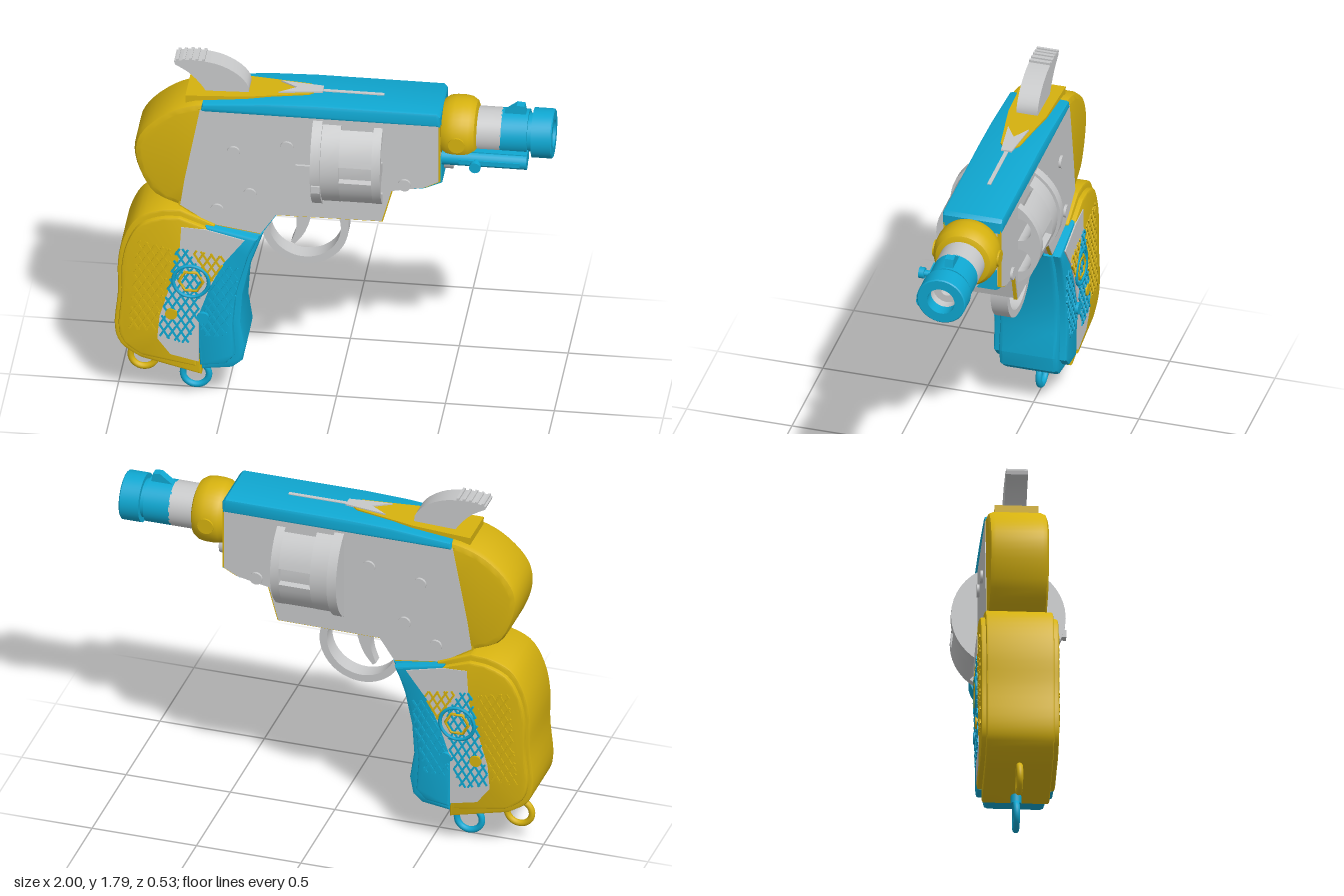
import * as THREE from 'three';
import { toCreasedNormals, mergeGeometries } from 'three/addons/utils/BufferGeometryUtils.js';

const material = (name, color) => {
  const m = new THREE.MeshStandardMaterial({ color });
  m.name = name;
  return m;
};

export function createModel() {
  const blue = material('blue', 0x0fa8d2);
  const yellow = material('yellow', 0xd6b20f);
  const gray = material('lightGray', 0xc8c9ca);
  const model = new THREE.Group();
  model.name = 'toyRevolver';

  const add = (name, geo, mat, x = 0, y = 0, z = 0) => {
    const mesh = new THREE.Mesh(geo, mat);
    mesh.name = name;
    mesh.position.set(x, y, z);
    model.add(mesh);
    return mesh;
  };
  const vec = (pts) => pts.map(([x, y]) => new THREE.Vector2(x, y));
  const curve = (pts, n = 24) => new THREE.SplineCurve(vec(pts)).getPoints(n).map((p) => [p.x, p.y]);
  const scaled = (pts, cx, cy, k) => pts.map(([x, y]) => [cx + (x - cx) * k, cy + (y - cy) * k]);

  // Side outline extruded between two z values
  const slab = (pts, z0, z1, bevel = 0) => {
    const g = new THREE.ExtrudeGeometry(new THREE.Shape(vec(pts)), {
      depth: z1 - z0 - 2 * bevel, bevelEnabled: bevel > 0, bevelThickness: bevel,
      bevelSize: bevel, bevelOffset: -bevel, bevelSegments: 2,
    });
    g.translate(0, 0, z0 + bevel);
    return toCreasedNormals(g, 0.5);
  };
  const centred = (name, pts, half, mat, bevel) => add(name, slab(pts, -half, half, bevel), mat);
  const bothSides = (name, pts, a, b, mat) => {
    add(name + 'Left', slab(pts, a, b), mat);
    add(name + 'Right', slab(pts, -b, -a), mat);
  };
  // Profile of [radius, x] turned about the barrel axis
  const turned = (name, pts, mat, y) =>
    add(name, toCreasedNormals(new THREE.LatheGeometry(vec(pts), 40).rotateZ(-Math.PI / 2), 0.5), mat, 0, y);
  const rodX = (r, len) => new THREE.CylinderGeometry(r, r, len, 24).rotateZ(Math.PI / 2);
  const rodZ = (r, len) => new THREE.CylinderGeometry(r, r, len, 24).rotateX(Math.PI / 2);

  // Frame: gray core, yellow rims and gray side plates
  const frame = [[-0.61, 1.575], [0.485, 1.575], [0.485, 1.275], [0.42, 1.24], [0.27, 1.21],
    [0.225, 1.045], [-0.26, 1.04], [-0.33, 0.935], [-0.56, 0.97], [-0.7, 1.06], [-0.68, 1.2]];
  centred('frameCore', frame, 0.12, gray);
  bothSides('frameRim', scaled(frame, -0.1, 1.3, 1.015), 0.12, 0.136, yellow);
  bothSides('sidePlate', frame, 0.13, 0.14, gray);
  centred('topStrap', [[-0.61, 1.565], [-0.6, 1.603], [-0.3, 1.63], [-0.1, 1.637], [0.48, 1.637],
    [0.495, 1.62], [0.495, 1.565]], 0.143, blue, 0.014);
  centred('frameNose', [[0.25, 1.195], [0.42, 1.222], [0.5, 1.26], [0.5, 1.36], [0.4, 1.36], [0.3, 1.3]], 0.115, blue);
  centred('rearHood', [...curve([[-0.56, 1.605], [-0.65, 1.595], [-0.76, 1.55], [-0.86, 1.465], [-0.91, 1.37],
    [-0.9, 1.25], [-0.83, 1.11], [-0.71, 1.05]]), [-0.55, 1.05], [-0.5, 1.3], [-0.5, 1.6]], 0.137, yellow, 0.03);

  // Inlays along the top, laid flat from plan outlines
  const inlay = (name, pts, thick, mat, y, tilt) => {
    const g = slab(pts, 0, thick).rotateX(-Math.PI / 2);
    add(name, g, mat, 0, y).rotation.z = tilt;
  };
  inlay('topRidge', [[-0.68, 0.1], [-0.4, 0.09], [-0.12, 0.045], [-0.06, 0], [-0.12, -0.045],
    [-0.4, -0.09], [-0.68, -0.1]], 0.05, yellow, 1.597, 0.035);
  inlay('topWedge', [[-0.26, 0.05], [-0.06, 0.025], [-0.06, -0.025], [-0.26, -0.05], [-0.18, 0]], 0.008, gray, 1.641, 0.012);
  inlay('sightGroove', [[-0.1, 0.009], [0.22, 0.009], [0.22, -0.009], [-0.1, -0.009]], 0.006, gray, 1.635, 0);

  // Screws on both sides of the frame and grip
  const screw = (x, y, z, r, mat) => {
    for (const s of [1, -1]) add('screw', rodZ(r, 0.02), mat, x, y, s * z);
  };
  for (const [x, y] of [[-0.455, 1.365], [-0.21, 1.41], [-0.38, 1.145], [-0.53, 1.05], [0.33, 1.25]])
    screw(x, y, 0.142, 0.03, gray);
  screw(-0.735, 0.5, 0.182, 0.028, yellow);
  screw(-0.59, 0.49, 0.182, 0.028, blue);

  // Revolving cylinder with six chambers and notched sides
  const drumPart = (name, r, x0, x1, notched, chambers) => {
    const pts = [];
    for (let i = 0; i < 6; i++) {
      const a = (i * Math.PI) / 3, w = 0.17;
      if (notched) for (const [rr, d] of [[r, -w], [r - 0.03, -w], [r - 0.03, 0], [r - 0.03, w], [r, w]])
        pts.push([rr * Math.cos(a + d), rr * Math.sin(a + d)]);
      else for (const d of [-w, 0, w]) pts.push([r * Math.cos(a + d), r * Math.sin(a + d)]);
      for (let k = 1; k < 5; k++) {
        const b = a + w + (k / 5) * (Math.PI / 3 - 2 * w);
        pts.push([r * Math.cos(b), r * Math.sin(b)]);
      }
    }
    const shape = new THREE.Shape(vec(pts));
    if (chambers) for (let i = 0; i < 6; i++) {
      const a = ((i + 0.5) * Math.PI) / 3;
      shape.holes.push(new THREE.Path().absarc(0.165 * Math.cos(a), 0.165 * Math.sin(a), 0.06, 0, Math.PI * 2, true));
    }
    const g = new THREE.ExtrudeGeometry(shape, { depth: x1 - x0, bevelEnabled: false, curveSegments: 16 });
    add(name, toCreasedNormals(g.rotateY(Math.PI / 2), 0.5), gray, x0, 1.34);
  };
  drumPart('drumFlange', 0.262, -0.09, -0.045, false, false);
  drumPart('drumRear', 0.248, -0.045, 0.04, false, false);
  drumPart('drumMiddle', 0.248, 0.04, 0.19, true, true);
  drumPart('drumFront', 0.248, 0.19, 0.23, false, true);
  add('drumAxle', rodX(0.05, 0.1), gray, 0.2, 1.34);
  add('drumStop', new THREE.BoxGeometry(0.04, 0.035, 0.02), gray, -0.065, 1.265, 0.255);
  add('latch', new THREE.BoxGeometry(0.09, 0.12, 0.02), gray, -0.125, 1.26, 0.143);

  // Barrel
  turned('barrelCollar', [[0, 0.48], [0.1, 0.48], [0.13, 0.495], [0.147, 0.52], [0.152, 0.55], [0.152, 0.59],
    [0.147, 0.62], [0.13, 0.645], [0.105, 0.655], [0, 0.655]], yellow, 1.49);
  turned('barrelBand', [[0.106, 0.64], [0.106, 0.765]], gray, 1.49);
  turned('muzzle', [[0.09, 0.76], [0.106, 0.76], [0.106, 0.885], [0.09, 0.885], [0.09, 0.905], [0.115, 0.905],
    [0.115, 0.995], [0.11, 1], [0.065, 1], [0.065, 0.94]], blue, 1.49);
  turned('bore', [[0.065, 0.94], [0.065, 0.9], [0.03, 0.9], [0.03, 0.76], [0, 0.76]], gray, 1.49);
  centred('frontSight', [[0.76, 1.585], [0.8, 1.615], [0.83, 1.638], [0.865, 1.635], [0.875, 1.585]], 0.02, blue);
  for (const s of [1, -1]) add('collarBoss', rodZ(0.038, 0.03), yellow, 0.57, 1.485, s * 0.142);
  add('noseBolt', rodX(0.05, 0.05), gray, 0.515, 1.325);

  // Side rod beneath the barrel
  add('sideRod', rodX(0.038, 0.39), blue, 0.695, 1.4, 0.112);
  add('sideRodRail', new THREE.BoxGeometry(0.39, 0.06, 0.07), blue, 0.695, 1.41, 0.09);
  add('sideRodBar', new THREE.BoxGeometry(0.28, 0.022, 0.012), blue, 0.72, 1.4, 0.15);
  add('rodKnobStem', rodZ(0.015, 0.08), blue, 0.66, 1.4, 0.16);
  add('rodKnob', rodZ(0.026, 0.025), blue, 0.66, 1.4, 0.188);

  // Hammer with ridged spur
  centred('hammer', [...curve([[-0.4, 1.6], [-0.4, 1.665], [-0.45, 1.725], [-0.54, 1.77], [-0.66, 1.785], [-0.74, 1.772]], 16),
    ...curve([[-0.735, 1.755], [-0.67, 1.715], [-0.61, 1.65], [-0.57, 1.58]], 10)], 0.05, gray);
  for (let i = 0; i < 5; i++)
    add('hammerRidge', new THREE.BoxGeometry(0.012, 0.014, 0.1), gray, -0.725 + i * 0.03, 1.777 + Math.min(i, 2) * 0.004);

  // Trigger and guard
  const ring = new THREE.Shape().absarc(0, 0, 0.2, 0, Math.PI * 2);
  ring.holes.push(new THREE.Path().absarc(0, 0, 0.165, 0, Math.PI * 2, true));
  const guard = new THREE.ExtrudeGeometry(ring, { depth: 0.08, bevelEnabled: false, curveSegments: 32 });
  add('triggerGuard', toCreasedNormals(guard, 0.5), gray, -0.14, 0.93, -0.04);
  centred('trigger', [...curve([[-0.11, 1.06], [-0.115, 0.97], [-0.145, 0.88], [-0.19, 0.82]], 8),
    ...curve([[-0.205, 0.83], [-0.18, 0.92], [-0.19, 1.06]], 8)], 0.025, gray);

  // Grip bodies and raised side panels
  const back = curve([[-0.7, 1.04], [-0.8, 1.03], [-0.9, 0.98], [-0.96, 0.87], [-0.985, 0.74], [-0.985, 0.58],
    [-1, 0.4], [-0.97, 0.3], [-0.88, 0.235]], 30);
  centred('gripRear', [...back, [-0.6, 0.165], [-0.6, 0.5], [-0.54, 0.7], [-0.54, 0.97]], 0.155, yellow, 0.01);
  centred('gripRearPanel', [...scaled(back, -0.7, 0.6, 0.93), [-0.62, 0.22], [-0.62, 0.5], [-0.57, 0.65], [-0.57, 0.96]],
    0.178, yellow, 0.01);
  centred('gripFront', [[-0.605, 0.18], [-0.46, 0.2], [-0.415, 0.24], [-0.4, 0.32], [-0.42, 0.45], [-0.41, 0.6],
    [-0.375, 0.77], [-0.32, 0.93], [-0.56, 0.975], [-0.55, 0.7], [-0.605, 0.5]], 0.14, blue, 0.02);
  centred('gripFrontPanel', [[-0.605, 0.225], [-0.49, 0.24], [-0.445, 0.29], [-0.455, 0.45], [-0.44, 0.62],
    [-0.385, 0.82], [-0.34, 0.92], [-0.58, 0.972], [-0.57, 0.7], [-0.625, 0.5]], 0.175, blue, 0.012);
  centred('gripNeck', [[-0.36, 0.92], [-0.32, 0.925], [-0.25, 1.035], [-0.3, 1.06], [-0.4, 0.97]], 0.1, blue);
  bothSides('gripInlay', [[-0.69, 0.965], [-0.58, 0.96], [-0.4, 0.915], [-0.5, 0.78], [-0.56, 0.65], [-0.61, 0.5],
    [-0.61, 0.25], [-0.74, 0.28], [-0.8, 0.36], [-0.79, 0.48], [-0.74, 0.65], [-0.7, 0.8]], 0.173, 0.181, gray);

  // Diamond lattice of thin strips, clipped to a convex field (counter-clockwise corners)
  const lattice = (name, poly, z, mat) => {
    const strips = [];
    for (const angle of [1.02, Math.PI - 1.02]) {
      const dx = Math.cos(angle), dy = Math.sin(angle);
      for (let k = -20; k <= 20; k++) {
        const px = -0.65 - dy * k * 0.034, py = 0.6 + dx * k * 0.034;
        let t0 = -2, t1 = 2;
        poly.forEach(([ax, ay], i) => {
          const [bx, by] = poly[(i + 1) % poly.length];
          const nx = ay - by, ny = bx - ax;
          const dist = nx * (px - ax) + ny * (py - ay), rate = nx * dx + ny * dy;
          if (rate > 1e-9) t0 = Math.max(t0, -dist / rate);
          else if (rate < -1e-9) t1 = Math.min(t1, -dist / rate);
        });
        if (t1 - t0 < 0.02) continue;
        const mid = (t0 + t1) / 2;
        for (const s of [1, -1]) strips.push(new THREE.BoxGeometry(t1 - t0, 0.009, 0.008)
          .rotateZ(angle).translate(px + dx * mid, py + dy * mid, s * z));
      }
    }
    add(name, mergeGeometries(strips), mat);
  };
  lattice('rearLattice', [[-0.93, 0.4], [-0.81, 0.4], [-0.73, 0.84], [-0.89, 0.88]], 0.179, yellow);
  lattice('middleLattice', [[-0.8, 0.38], [-0.62, 0.33], [-0.61, 0.5], [-0.56, 0.66], [-0.66, 0.85], [-0.71, 0.85]], 0.182, blue);
  lattice('upperLattice', [[-0.56, 0.66], [-0.48, 0.82], [-0.64, 0.85]], 0.182, yellow);
  lattice('frontLattice', [[-0.6, 0.39], [-0.46, 0.39], [-0.44, 0.62], [-0.41, 0.76], [-0.5, 0.77], [-0.6, 0.5]], 0.176, blue);

  // Plain medallion rings on the grip
  for (const s of [1, -1]) {
    add('medallionRing', new THREE.TorusGeometry(0.082, 0.009, 6, 32), blue, -0.645, 0.68, s * 0.184);
    add('medallionInnerRing', new THREE.TorusGeometry(0.055, 0.008, 6, 6), yellow, -0.645, 0.68, s * 0.184);
  }

  // Lanyard loops
  add('rearLoop', new THREE.TorusGeometry(0.06, 0.015, 12, 32), yellow, -0.885, 0.155);
  add('frontLoop', new THREE.TorusGeometry(0.06, 0.015, 12, 32), blue, -0.645, 0.076);
  add('frontLoopStud', new THREE.CylinderGeometry(0.025, 0.025, 0.05, 20), blue, -0.645, 0.165);
  return model;
}
